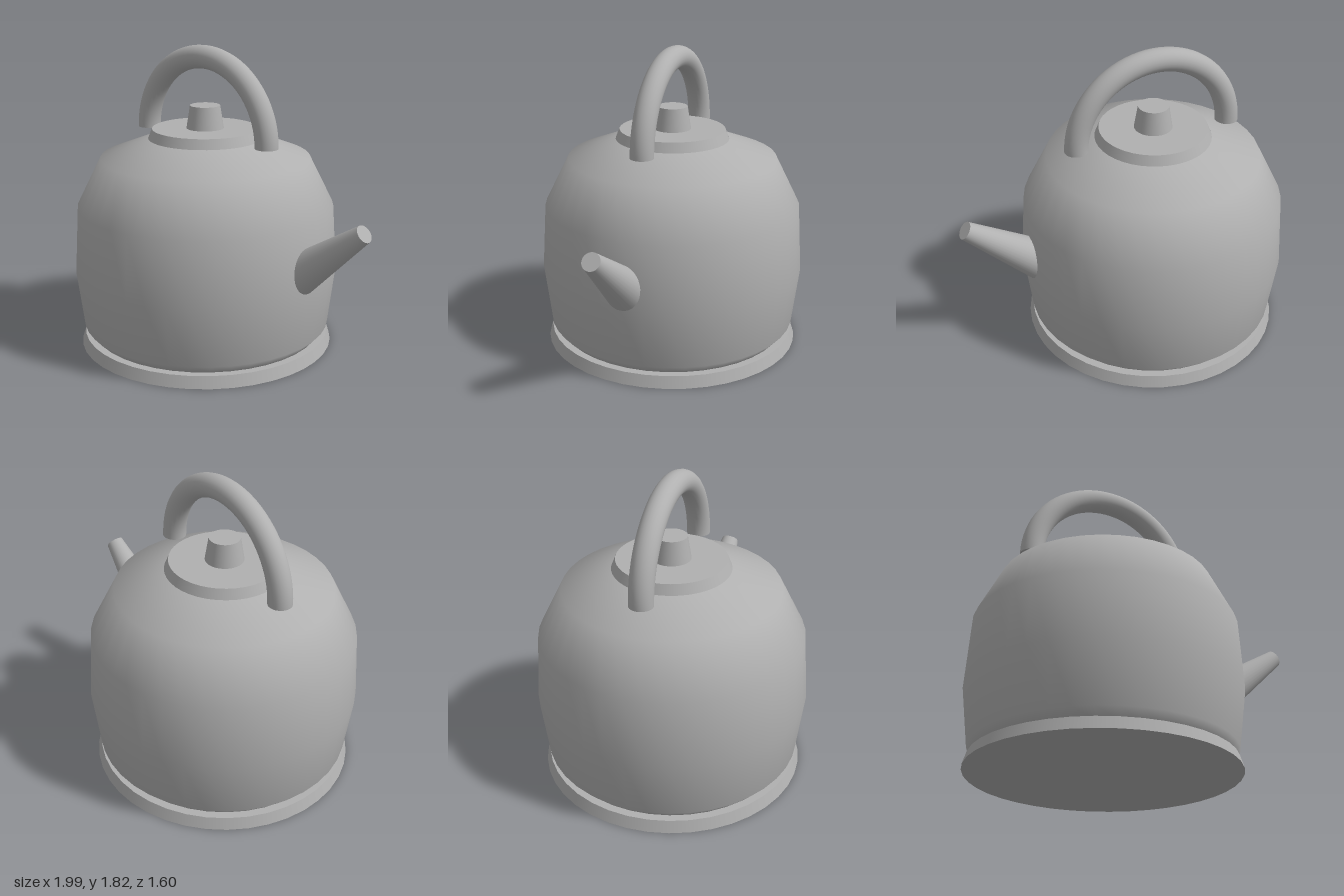
import * as THREE from 'three';

export function createModel() {
  const group = new THREE.Group();
  group.name = 'kettle';
  const metal = new THREE.MeshStandardMaterial({ color: 0xb0b0b0 });
  metal.name = 'grey metal';
  const axisX = -0.2; // centre line of the pot
  const SEG = 40;

  const add = (name, geometry, x, y) => {
    const mesh = new THREE.Mesh(geometry, metal);
    mesh.name = name;
    mesh.position.set(x, y, 0);
    group.add(mesh);
    return mesh;
  };
  // Tapered disc standing between two heights
  const taper = (name, rTop, rBottom, y0, y1) =>
    add(name, new THREE.CylinderGeometry(rTop, rBottom, y1 - y0, SEG), axisX, (y0 + y1) / 2);

  taper('base', 0.755, 0.777, 0, 0.07);

  // Pot: softly shaded lathe
  const profile = [
    [0.708, 0.07], [0.757, 0.125], [0.8, 0.475], [0.775, 0.87], [0.63, 1.16], [0.342, 1.272],
  ].map(([r, y]) => new THREE.Vector2(r, y));
  add('body', new THREE.LatheGeometry(profile, SEG), axisX, 0);

  taper('lid', 0.318, 0.344, 1.265, 1.33);
  taper('knob', 0.09, 0.112, 1.33, 1.467);

  // Spout: cone running from inside the pot to the tip
  const angle = 0.66, length = 0.6;
  const spout = add('spout', new THREE.CylinderGeometry(0.053, 0.128, length, 32),
    0.962 - Math.cos(angle) * length / 2, 0.913 - Math.sin(angle) * length / 2);
  spout.rotation.z = angle - Math.PI / 2;

  // Handle: half ring with closed ends
  const ring = 0.478, tube = 0.069, handleY = 1.275;
  add('handle', new THREE.TorusGeometry(ring, tube, 24, 40, Math.PI), axisX, handleY);
  for (const side of [-1, 1]) {
    const cap = add('handleEnd', new THREE.CircleGeometry(tube, 24), axisX + side * ring, handleY);
    cap.rotation.x = Math.PI / 2;
  }
  return group;
}
